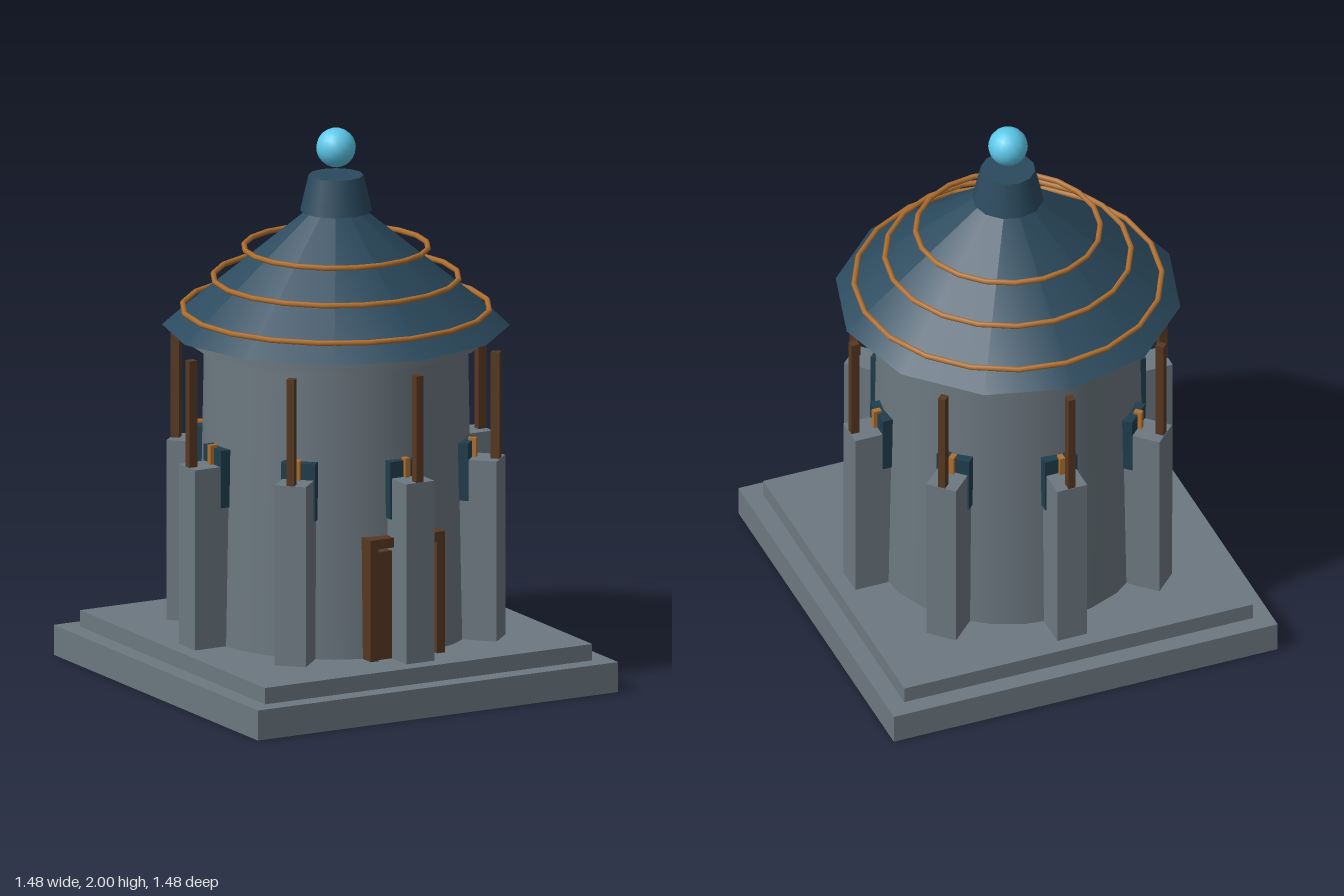
import * as THREE from 'three';

const material = (color) => new THREE.MeshStandardMaterial({ color });

export function createModel() {
  const model = new THREE.Group();
  model.name = 'tower';

  const stone = material(0x6c7880);
  const slate = material(0x2b4a5e);
  const wood = material(0x573822);
  const copper = material(0xb07030);
  const glow = material(0x5cc8ea);
  const pane = material(0x1f3d4c);

  const add = (parent, name, geometry, mat, x, y, z) => {
    const mesh = new THREE.Mesh(geometry, mat);
    mesh.name = name;
    mesh.position.set(x, y, z);
    parent.add(mesh);
    return mesh;
  };
  // Box given by its width, bottom and top, back and front
  const box = (parent, name, mat, w, y0, y1, z0, z1, x = 0) =>
    add(parent, name, new THREE.BoxGeometry(w, y1 - y0, z1 - z0), mat, x, (y0 + y1) / 2, (z0 + z1) / 2);
  // Round part given by its radii, bottom and top
  const round = (name, mat, r0, r1, y0, y1, sides) =>
    add(model, name, new THREE.CylinderGeometry(r1, r0, y1 - y0, sides), mat, 0, (y0 + y1) / 2, 0);

  // Stepped square base
  box(model, 'lowerStep', stone, 1.476, 0, 0.11, -0.738, 0.738);
  box(model, 'upperStep', stone, 1.34, 0.11, 0.17, -0.67, 0.67);

  // Round tower body and the cornice under the roof
  round('towerWall', stone, 0.49, 0.47, 0.17, 1.24, 24);
  round('cornice', stone, 0.53, 0.53, 1.23, 1.28, 20);

  // Twelve-sided roof, its cap and the floating orb
  round('roof', slate, 0.62, 0, 1.28, 1.785, 12);
  round('roofCap', slate, 0.128, 0.098, 1.7, 1.83, 12);
  add(model, 'orb', new THREE.SphereGeometry(0.071, 16, 12), glow, 0, 1.93, 0);

  // Copper hoops around the roof
  for (let i = 0; i < 3; i++) {
    const hoop = add(model, 'roofHoop', new THREE.TorusGeometry(0.55 - 0.11 * i, 0.01, 6, 20),
      copper, 0, 1.345 + 0.111 * i, 0);
    hoop.rotation.x = Math.PI / 2;
  }

  // Eight bays: buttress, post on top of it, and the window behind
  for (let i = 0; i < 8; i++) {
    const bay = new THREE.Group();
    bay.name = 'bay';
    bay.rotation.y = (i * Math.PI) / 4;
    box(bay, 'buttress', stone, 0.115, 0.17, 0.83, 0.47, 0.61);
    box(bay, 'post', wood, 0.028, 0.83, 1.22, 0.576, 0.608);
    box(bay, 'window', pane, 0.126, 0.68, 0.89, 0.46, 0.506);
    box(bay, 'windowBar', copper, 0.02, 0.66, 0.9, 0.49, 0.52);
    model.add(bay);
  }

  // Door with its frame on the front
  const door = new THREE.Group();
  door.name = 'door';
  for (const side of [-1, 1]) box(door, 'doorJamb', wood, 0.032, 0.17, 0.58, 0.45, 0.52, side * 0.136);
  box(door, 'doorLintel', wood, 0.304, 0.58, 0.615, 0.45, 0.52);
  box(door, 'doorPanel', wood, 0.23, 0.17, 0.565, 0.45, 0.505);
  model.add(door);

  return model;
}
